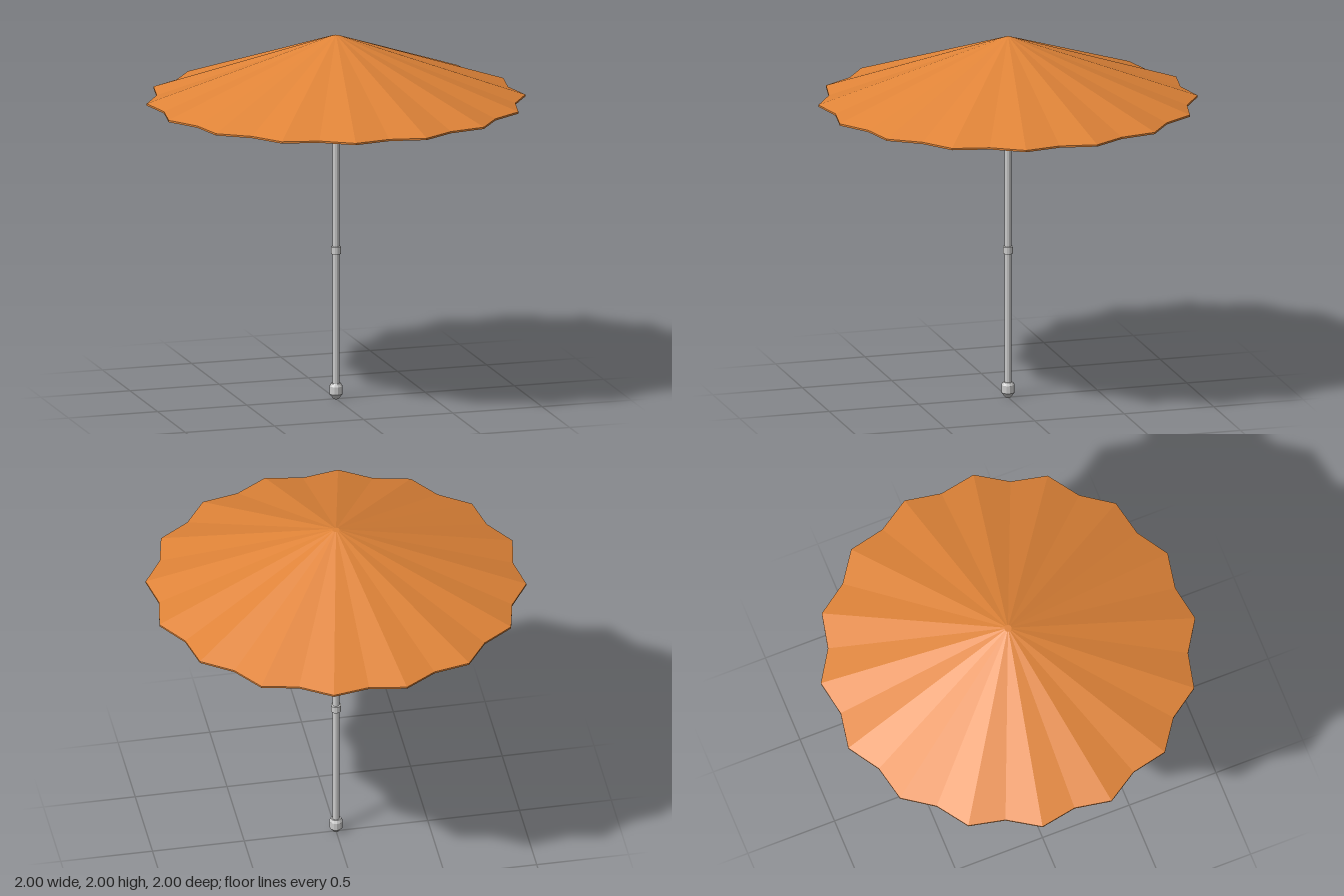
import * as THREE from 'three';

const RIBS = 16;
const VALLEY = 0.946; // valley radius relative to rib radius

// Turned part from [radius, y] pairs, listed bottom to top
function turned(name, profile, segments, material) {
  const points = profile.map(([r, y]) => new THREE.Vector2(r, y));
  const mesh = new THREE.Mesh(new THREE.LatheGeometry(points, segments), material);
  mesh.name = name;
  return mesh;
}

export function createModel() {
  const group = new THREE.Group();
  group.name = 'parasol';

  const cloth = new THREE.MeshStandardMaterial({ color: 0xe08438, flatShading: true });
  const metal = new THREE.MeshStandardMaterial({ color: 0xcccccc, flatShading: true });

  // Thin hollow canopy; every other spoke is pulled in to scallop the rim
  const canopy = turned('canopy', [
    [0, 1.988], [0.02, 1.988], [1.0196, 1.64], [1.0196, 1.65], [0.02, 2], [0, 2],
  ], RIBS * 2, cloth);
  const pos = canopy.geometry.attributes.position;
  const rings = canopy.geometry.parameters.points.length;
  for (let i = 0; i < pos.count; i++) {
    const spoke = Math.floor(i / rings);
    if (spoke % 2 === 0) pos.setXYZ(i, pos.getX(i) * VALLEY, pos.getY(i), pos.getZ(i) * VALLEY);
  }
  canopy.geometry.computeVertexNormals();
  group.add(canopy);

  // Pole, from the foot up to the canopy peak
  group.add(turned('pole', [[0, 0.05], [0.019, 0.05], [0.019, 1.988], [0, 1.988]], 12, metal));

  // Collar where the pole sections join
  group.add(turned('collar', [
    [0.018, 0.798], [0.028, 0.80], [0.028, 0.838], [0.018, 0.84],
  ], 12, metal));

  // Pointed foot with chamfered shoulders
  group.add(turned('foot', [
    [0, 0], [0.014, 0], [0.036, 0.028], [0.036, 0.07], [0.027, 0.086], [0, 0.086],
  ], 12, metal));

  return group;
}
